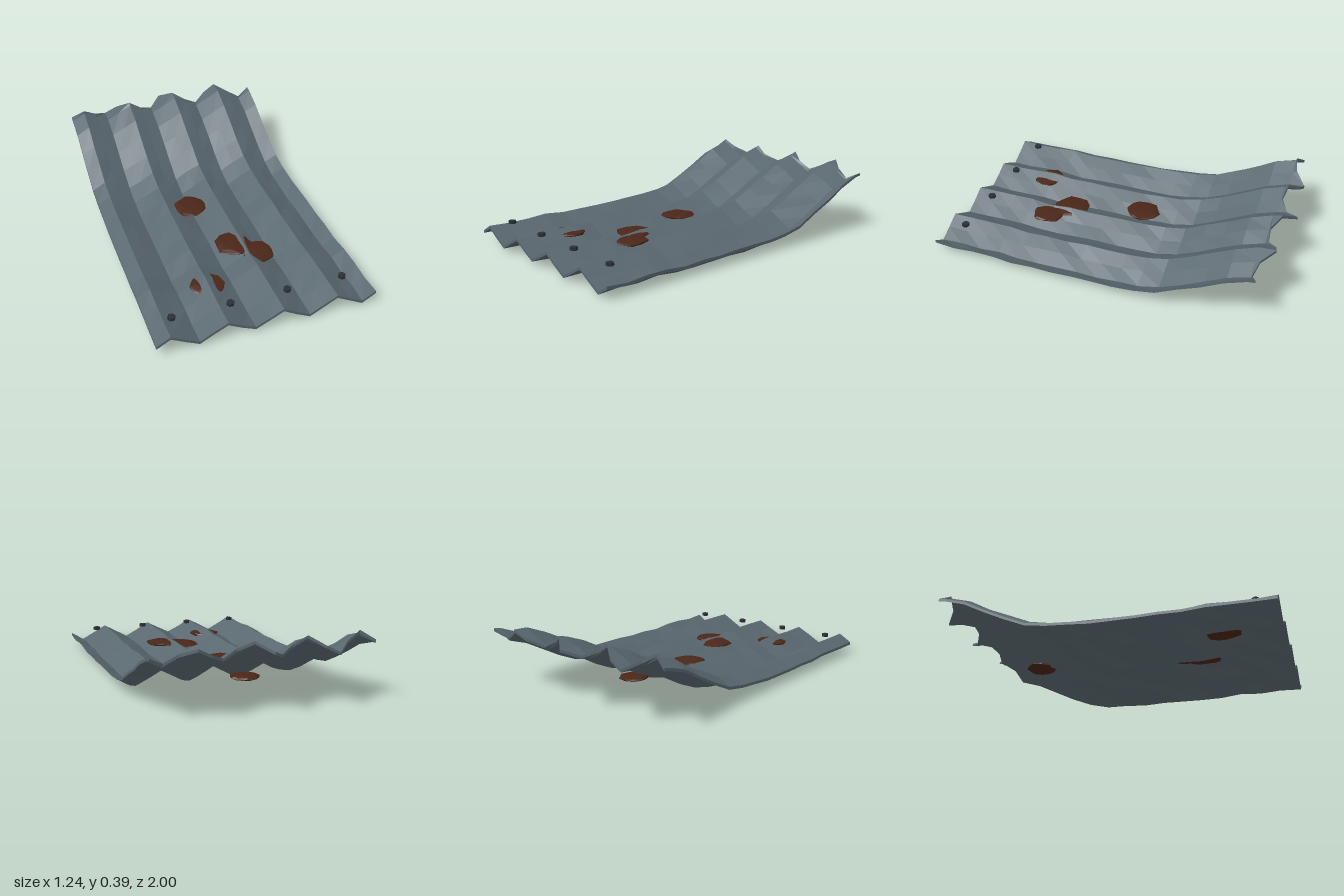
import * as THREE from 'three';

const WIDTH = 1.24, LENGTH = 2, SEGS = 16, THICK = 0.016;

// Repeatable dent value in -1..1 for a grid point
function dent(a, b) {
  const s = Math.sin(a * 12.99 + b * 78.23) * 43758.55;
  return (s - Math.floor(s)) * 2 - 1;
}

// Mid height of the sheet per row, from the bent-up back (z = -1) to the front (z = 1)
const HEIGHTS = [0.338, 0.328, 0.285, 0.222, 0.16, 0.105, 0.077, 0.068, 0.063,
  0.063, 0.06, 0.058, 0.055, 0.066, 0.064, 0.062, 0.062];
// Torn back edge, z per column
const TORN = [-0.915, -0.88, -0.9, -0.965, -0.955, -0.895, -0.88, -0.925, -1,
  -0.93, -0.885, -0.895, -0.95, -0.965, -0.9, -0.88, -0.915];

function createSheet(material) {
  const geo = new THREE.BoxGeometry(WIDTH, THICK, LENGTH, SEGS, 1, SEGS);
  const p = geo.attributes.position;
  for (let k = 0; k < p.count; k++) {
    const col = Math.round((p.getX(k) / WIDTH + 0.5) * SEGS);
    const row = Math.round((p.getZ(k) / LENGTH + 0.5) * SEGS);
    // Corrugation: ridge every four columns
    const wave = 0.041 * Math.sin(col * Math.PI / 2);
    p.setY(k, p.getY(k) + HEIGHTS[row] + wave + 0.005 * dent(col, row));
    if (row === 0) p.setZ(k, TORN[col]);
  }
  geo.computeVertexNormals();
  const sheet = new THREE.Mesh(geo, material);
  sheet.name = 'corrugatedSheet';
  return sheet;
}

// Flat irregular patch of rust
function createRust(x, y, z, r, seed, material) {
  const geo = new THREE.IcosahedronGeometry(1, 1);
  const p = geo.attributes.position;
  for (let k = 0; k < p.count; k++) {
    const px = p.getX(k), py = p.getY(k), pz = p.getZ(k);
    // Key on the position so that shared corners stay together
    const key = Math.round(px * 50) + Math.round(py * 50) * 3 + seed;
    const f = 1 + 0.1 * dent(key, Math.round(pz * 50));
    p.setXYZ(k, px * f * r, py * f * 0.016, pz * f * r);
  }
  geo.computeVertexNormals();
  const rust = new THREE.Mesh(geo, material);
  rust.position.set(x, y, z);
  rust.rotation.y = seed;
  rust.name = 'rustPatch';
  return rust;
}

export function createModel() {
  const group = new THREE.Group();
  group.name = 'bentMetalSheet';
  const paint = (color) => new THREE.MeshStandardMaterial({ color, flatShading: true });
  const steel = paint(0x5a6870), rustMat = paint(0x4a2618), boltMat = paint(0x2a3036);

  group.add(createSheet(steel));

  // Rust patches: x, y, z, radius
  [
    [-0.09, 0.085, -0.05, 0.1],
    [0.03, 0.088, 0.385, 0.105],
    [0.13, 0.082, 0.49, 0.1],
    [-0.23, 0.082, 0.66, 0.1],
    [-0.05, 0.085, -0.49, 0.085],
  ].forEach(([x, y, z, r], i) => group.add(createRust(x, y, z, r, i + 1, rustMat)));

  // Row of hexagonal bolts along the front edge
  const boltGeo = new THREE.CylinderGeometry(0.022, 0.022, 0.018, 6);
  for (let i = 0; i < 4; i++) {
    const bolt = new THREE.Mesh(boltGeo, boltMat);
    bolt.position.set(-0.5 + i * 0.324, 0.123, 0.875);
    bolt.rotation.y = Math.PI / 6;
    bolt.name = 'bolt';
    group.add(bolt);
  }
  return group;
}
